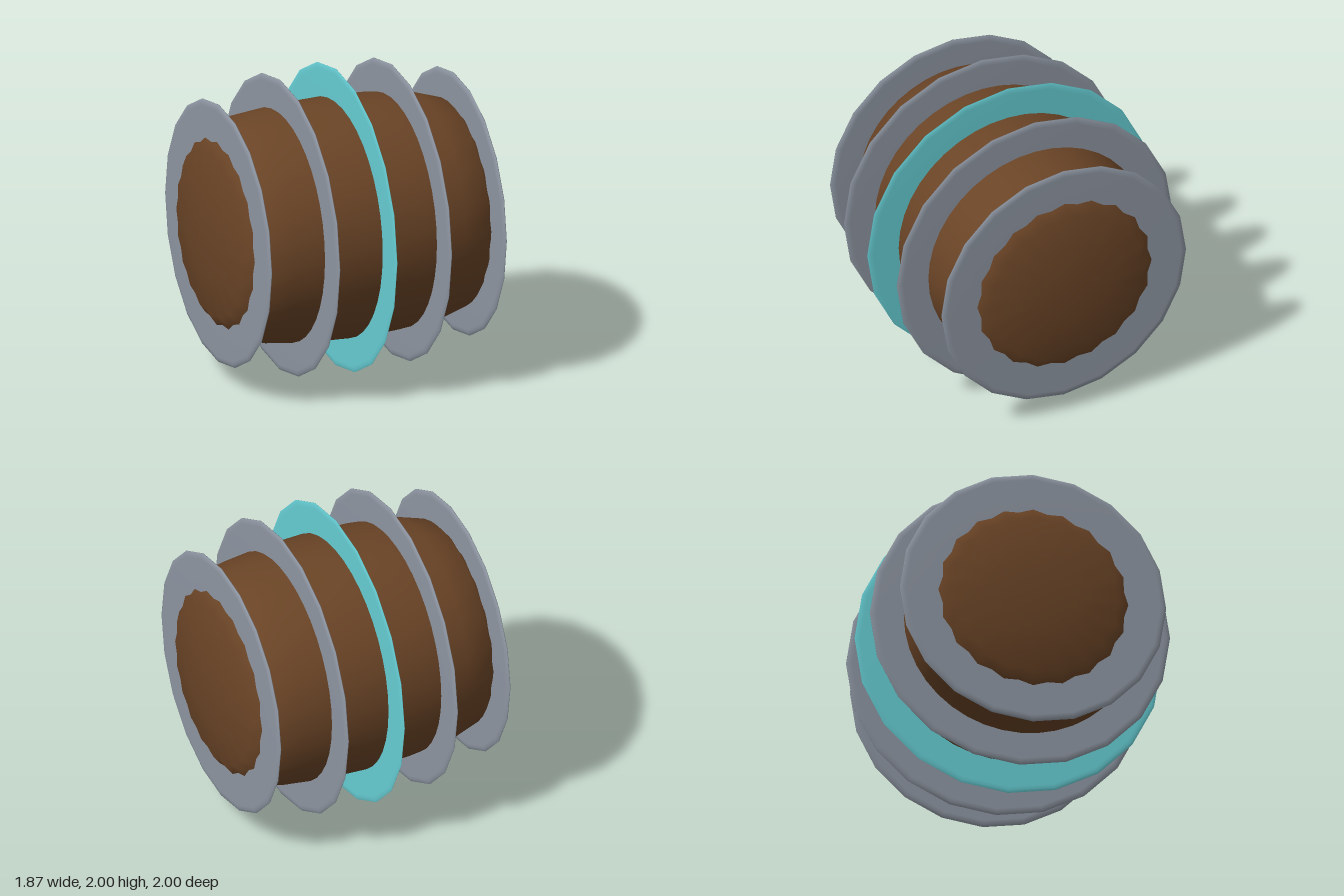
import * as THREE from 'three';
import { mergeVertices } from 'three/addons/utils/BufferGeometryUtils.js';

const mat = (name, color) => {
  const m = new THREE.MeshStandardMaterial({ color });
  m.name = name;
  return m;
};

// Revolve a profile of [radius, x] pairs around the x axis, with welded smooth normals
function revolve(profile, segments, rule) {
  let g = new THREE.LatheGeometry(profile.map(([r, x]) => new THREE.Vector2(r, x)), segments);
  g.deleteAttribute('uv');
  g.deleteAttribute('normal');
  g.rotateZ(-Math.PI / 2);
  if (rule) rule(g.attributes.position);
  g = mergeVertices(g, 1e-4);
  g.computeVertexNormals();
  return g;
}

export function createModel() {
  const wood = mat('brown wood', 0x6a4426);
  const steel = mat('grey steel', 0x8e96a2);
  const teal = mat('teal', 0x66ced4);

  const model = new THREE.Group();
  model.name = 'ringedBarrel';
  const add = (name, geometry, material, x = 0) => {
    const mesh = new THREE.Mesh(geometry, material);
    mesh.name = name;
    mesh.position.set(x, 1, 0);
    model.add(mesh);
  };

  // Barrel: bulging sides and shallow conical ends
  const half = [[0.78, 0], [0.77, 0.3], [0.738, 0.59], [0.68, 0.775], [0.622, 0.825],
    [0.55, 0.875], [0.3, 0.906], [0, 0.935]];
  const profile = [...half.slice(1).reverse().map(([r, x]) => [r, -x]), ...half];
  const scallop = (p) => {
    // Fluted ends: every other spoke is drawn in a little
    for (let i = 0; i < p.count; i++) {
      const x = Math.abs(p.getX(i)), y = p.getY(i), z = p.getZ(i);
      if (x < 0.8 || x > 0.88) continue;
      const k = 1 - 0.018 * (1 - Math.cos(20 * Math.atan2(y, z)));
      p.setXYZ(i, p.getX(i), y * k, z * k);
    }
  };
  add('barrel', revolve(profile, 40, scallop), wood);

  // Thin hoops: flat faces with a tapered rim, inner edge buried in the barrel
  const hoop = (radius, t) => revolve([[0.5, -t], [radius - 0.04, -t], [radius - 0.018, -t * 0.8],
    [radius, -t * 0.2], [radius, t * 0.2], [radius - 0.018, t * 0.8], [radius - 0.04, t], [0.5, t]], 20);
  add('middleHoop', hoop(1, 0.007), teal);
  for (const [side, s] of [['left', 1], ['right', -1]]) {
    add(side + 'InnerHoop', hoop(0.978, 0.011), steel, s * 0.388);
    add(side + 'EndHoop', hoop(0.868, 0.012), steel, s * 0.815);
  }
  return model;
}
